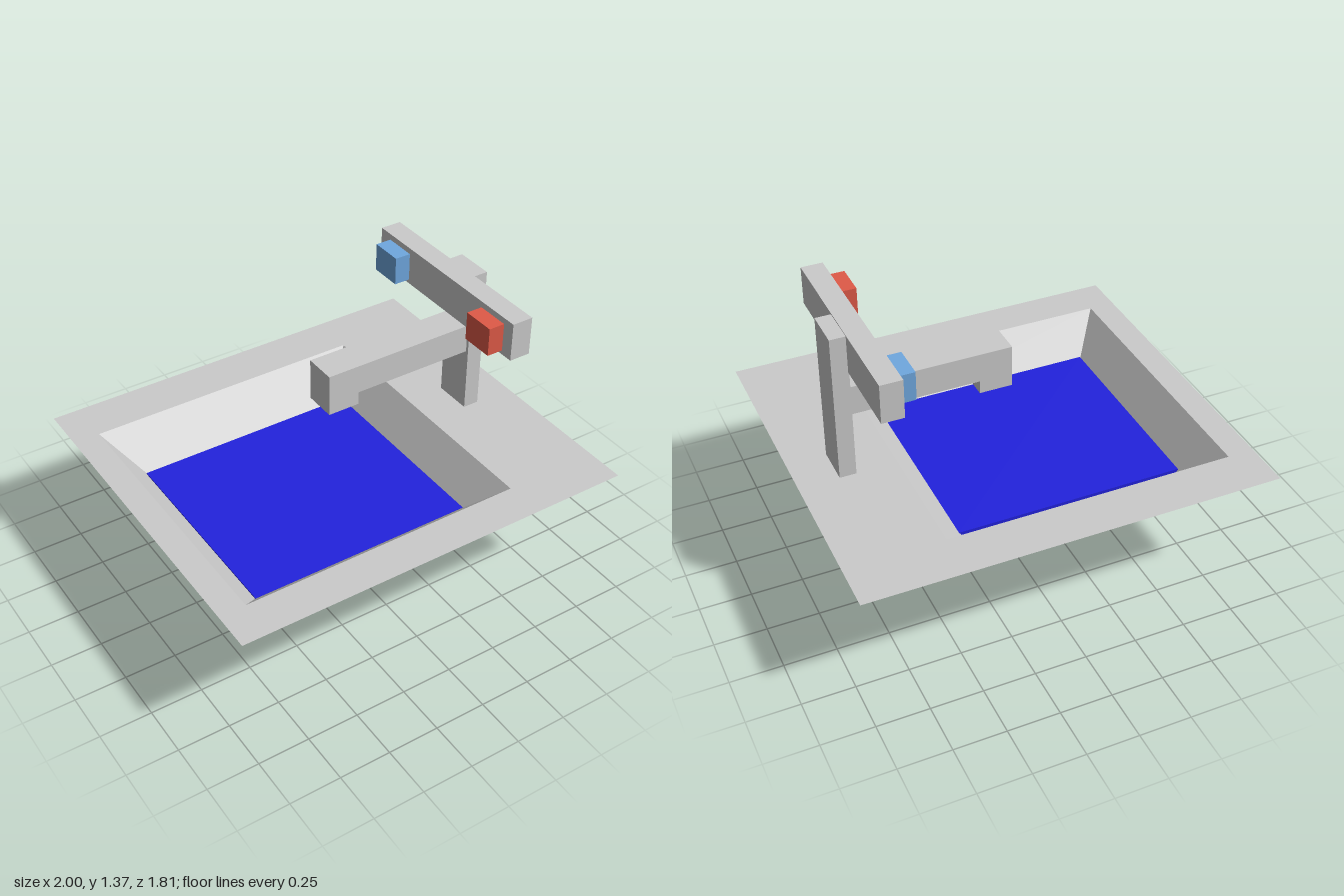
import * as THREE from 'three';

const material = (color) => new THREE.MeshStandardMaterial({ color, flatShading: true });
const grey = material(0xcccccc);

// Box given by its extents on each axis
function box(name, [x0, x1], [y0, y1], [z0, z1], mat = grey) {
  const mesh = new THREE.Mesh(new THREE.BoxGeometry(x1 - x0, y1 - y0, z1 - z0), mat);
  mesh.position.set((x0 + x1) / 2, (y0 + y1) / 2, (z0 + z1) / 2);
  mesh.name = name;
  return mesh;
}

// Skin through rectangular rings [y, x0, x1, z0, z1], capped at both ends
function loftRectangles(rings) {
  const corners = rings.map(([y, x0, x1, z0, z1]) =>
    [[x0, y, z1], [x1, y, z1], [x1, y, z0], [x0, y, z0]]);
  const positions = [];
  const quad = (a, b, c, d) => positions.push(...a, ...b, ...c, ...a, ...c, ...d);
  for (let i = 0; i < corners.length - 1; i++) {
    const lower = corners[i], upper = corners[i + 1];
    for (let j = 0; j < 4; j++) {
      const k = (j + 1) % 4;
      quad(lower[j], lower[k], upper[k], upper[j]);
    }
  }
  quad(...[...corners[0]].reverse());
  quad(...corners[corners.length - 1]);
  const geometry = new THREE.BufferGeometry();
  geometry.setAttribute('position', new THREE.Float32BufferAttribute(positions, 3));
  geometry.computeVertexNormals();
  return geometry;
}

export function createModel() {
  const model = new THREE.Group();
  model.name = 'washbasin';

  // Tapered basin: foot, outer rim, inner rim, bowl floor
  const basin = new THREE.Mesh(loftRectangles([
    [0, -0.315, 0.315, -0.22, 0.22],
    [0.625, -1, 1, -0.905, 0.905],
    [0.625, -0.87, 0.525, -0.675, 0.71],
    [0.43, -0.713, 0.367, -0.483, 0.52],
  ]), grey);
  basin.name = 'basin';
  model.add(basin);

  model.add(box('water', [-0.73, 0.39], [0.43, 0.457], [-0.48, 0.545], material(0x2222dd)));

  // Tap: post, spout with downturned tip, crossbar and two knobs
  const tap = new THREE.Group();
  tap.name = 'tap';
  tap.add(box('post', [0.725, 0.805], [0.6, 1.365], [-0.095, 0.095]));

  const profile = new THREE.Shape([
    [-0.05, 0.88], [0.11, 0.88], [0.11, 0.945], [0.73, 0.945], [0.73, 1.09], [-0.05, 1.09],
  ].map(([x, y]) => new THREE.Vector2(x, y)));
  const spoutGeometry = new THREE.ExtrudeGeometry(profile, { depth: 0.16, bevelEnabled: false });
  spoutGeometry.translate(0, 0, -0.08);
  const spout = new THREE.Mesh(spoutGeometry, grey);
  spout.name = 'spout';
  tap.add(spout);

  tap.add(box('crossbar', [0.625, 0.73], [1.18, 1.37], [-0.497, 0.515]));
  tap.add(box('hotKnob', [0.545, 0.63], [1.2, 1.34], [0.29, 0.453], material(0xe05a48)));
  tap.add(box('coldKnob', [0.545, 0.63], [1.2, 1.34], [-0.425, -0.263], material(0x70a8e0)));
  model.add(tap);

  return model;
}
